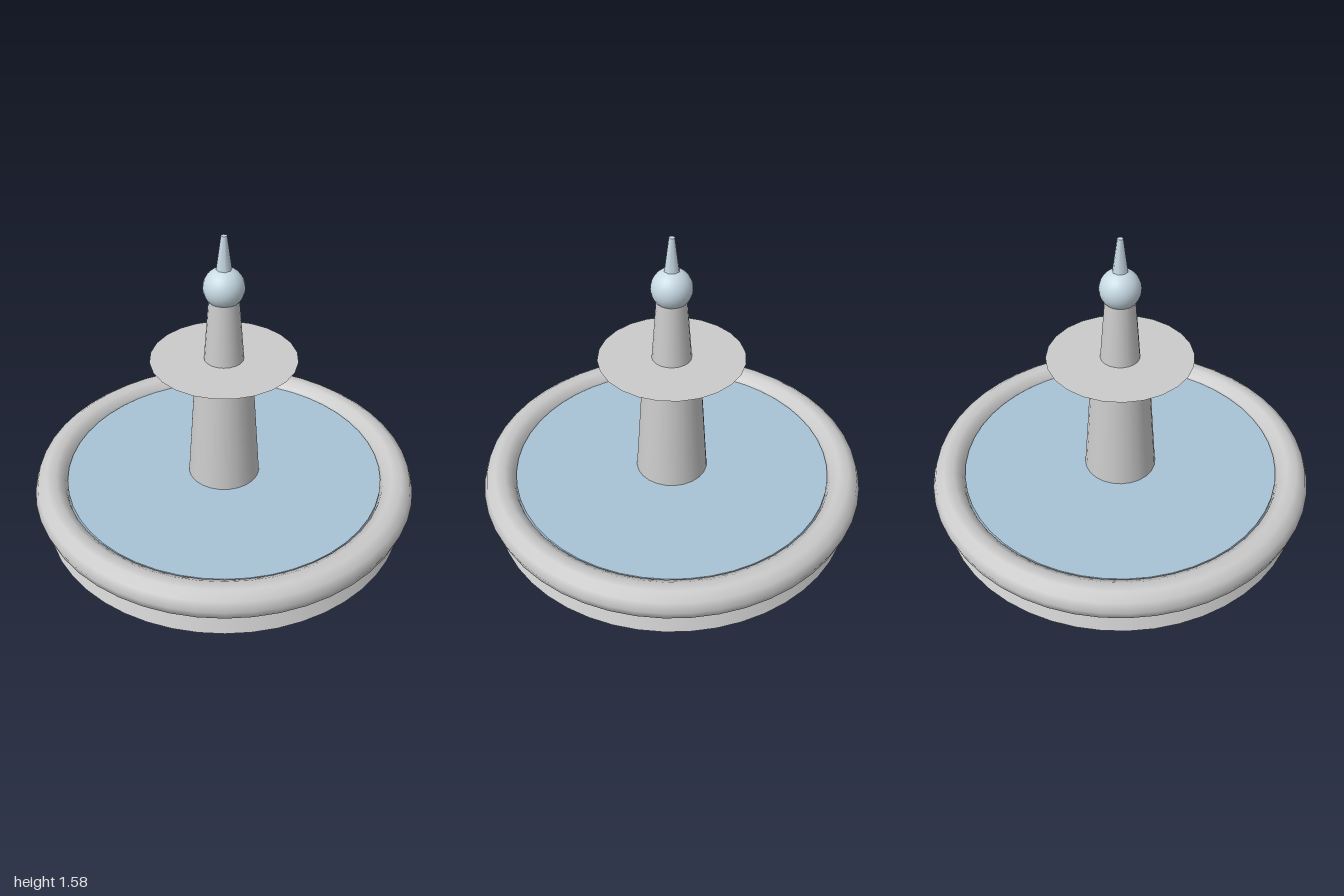
import * as THREE from 'three';

export function createModel() {
  const fountain = new THREE.Group();
  fountain.name = 'fountain';

  const stone = new THREE.MeshStandardMaterial({ color: 0xcccccc });
  const water = new THREE.MeshStandardMaterial({ color: 0xa8c2d6 });
  const spray = new THREE.MeshStandardMaterial({ color: 0xc8dae4 });

  const add = (name, geometry, material, y = 0) => {
    const mesh = new THREE.Mesh(geometry, material);
    mesh.name = name;
    mesh.position.y = y;
    fountain.add(mesh);
    return mesh;
  };

  // Tapered round section between heights y0 and y1
  const taper = (name, r0, y0, r1, y1, sides, material) =>
    add(name, new THREE.CylinderGeometry(r1, r0, y1 - y0, sides), material, (y0 + y1) / 2);

  // Pool: sloped base, rounded rim and water surface
  taper('basinBase', 0.95, 0, 0.88, 0.19, 48, stone);
  const rim = new THREE.TorusGeometry(0.913, 0.087, 10, 48).rotateX(Math.PI / 2);
  add('basinRim', rim, stone, 0.188);
  taper('waterSurface', 0.83, 0.19, 0.83, 0.23, 48, water);

  // Central column carrying the upper bowl
  taper('lowerColumn', 0.19, 0.19, 0.147, 0.83, 24, stone);
  taper('upperBowl', 0.14, 0.83, 0.37, 0.92, 24, stone);
  taper('upperColumn', 0.1, 0.92, 0.075, 1.25, 20, stone);

  // Finial ball and water jet
  add('finialBall', new THREE.SphereGeometry(0.102, 24, 16), spray, 1.31);
  taper('waterJet', 0.04, 1.39, 0.015, 1.575, 8, spray);

  return fountain;
}
